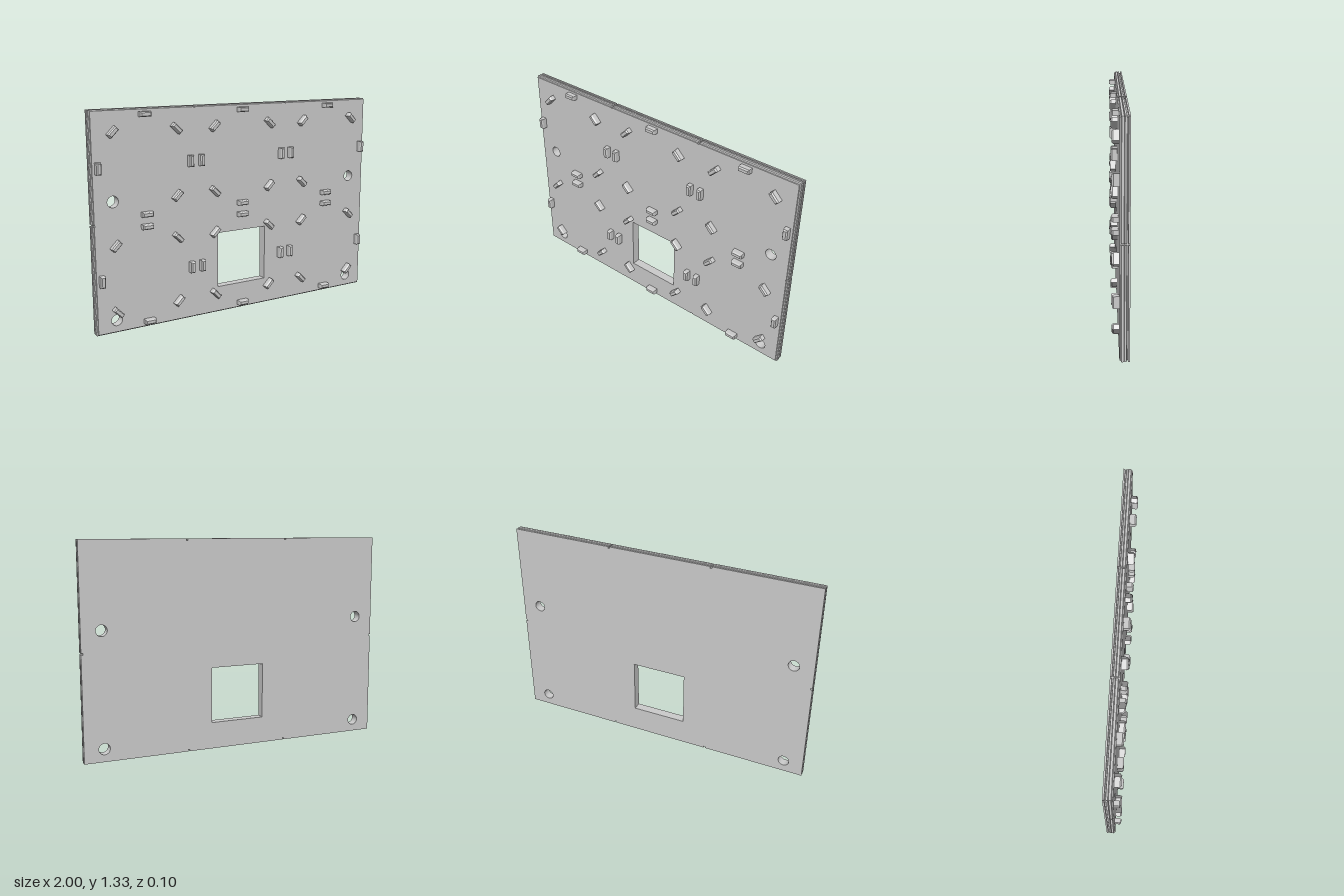
import * as THREE from 'three';
import { mergeGeometries } from 'three/addons/utils/BufferGeometryUtils.js';

const W = 1, H = 1.333, TILE = 0.667;
const Z_BACK = -0.048, Z_FRONT = 0.009, Z_TIP = 0.048;

// Skins matching rings of [x, y] points at rising z; counter-clockwise rings face outward.
function loft(rings) {
  const pos = [];
  for (let k = 0; k + 1 < rings.length; k++) {
    const lo = rings[k], hi = rings[k + 1], n = lo.pts.length;
    for (let i = 0; i < n; i++) {
      const j = (i + 1) % n;
      const a = [...lo.pts[i], lo.z], b = [...lo.pts[j], lo.z];
      const c = [...hi.pts[j], hi.z], d = [...hi.pts[i], hi.z];
      pos.push(...a, ...b, ...c, ...a, ...c, ...d);
    }
  }
  const g = new THREE.BufferGeometry();
  g.setAttribute('position', new THREE.Float32BufferAttribute(pos, 3));
  g.computeVertexNormals();
  return g;
}

const toVec = (pts) => pts.map(([x, y]) => new THREE.Vector2(x, y));

// Flat face with holes, facing +z
function cap(pts, holes, z) {
  const shape = new THREE.Shape(toVec(pts));
  holes.forEach((h) => shape.holes.push(new THREE.Path(toVec(h))));
  const g = new THREE.ShapeGeometry(shape).toNonIndexed();
  g.deleteAttribute('uv');
  return g.translate(0, 0, z);
}

const rect = (x0, y0, x1, y1) => [[x0, y0], [x1, y0], [x1, y1], [x0, y1]];

function circle(cx, cy, r, n = 28) {
  return Array.from({ length: n }, (_, i) => {
    const a = (i / n) * Math.PI * 2;
    return [cx + r * Math.cos(a), cy + r * Math.sin(a)];
  });
}

// Panel outline, with a small notch wherever two tiles meet
function outline(inset) {
  const w = 0.005, d = 0.011, s = TILE / 2, m = H / 2;
  const x = W - inset, y0 = inset, y1 = H - inset;
  const pts = [[-x, y0]];
  for (const c of [-s, s]) pts.push([c - w, y0], [c - w, d], [c + w, d], [c + w, y0]);
  pts.push([x, y0], [x, m - w], [W - d, m - w], [W - d, m + w], [x, m + w], [x, y1]);
  for (const c of [s, -s]) pts.push([c + w, y1], [c + w, H - d], [c - w, H - d], [c - w, y1]);
  pts.push([-x, y1], [-x, m + w], [d - W, m + w], [d - W, m - w], [-x, m - w]);
  return pts;
}

function panelGeometry() {
  // Edge profile as [z, inset]: back lip, deep groove, middle band, fine groove, front chamfer
  const profile = [
    [Z_BACK, 0], [-0.038, 0], [-0.036, 0.008], [-0.031, 0.008], [-0.029, 0],
    [-0.019, 0], [-0.017, 0.004], [-0.015, 0], [-0.002, 0], [0.002, 0.006], [Z_FRONT, 0.007],
  ];
  const holes = [rect(-0.177, 0.17, 0.177, 0.525)];
  for (const x of [-0.875, 0.875]) for (const y of [0.08, 0.8]) holes.push(circle(x, y, 0.035));
  const back = cap(outline(0), holes, 0).rotateY(Math.PI).translate(0, 0, Z_BACK);
  const parts = [
    loft(profile.map(([z, inset]) => ({ z, pts: outline(inset) }))),
    cap(outline(0.007), holes, Z_FRONT),
    back,
  ];
  // Walls of the window and bolt holes
  for (const h of holes) {
    const pts = [...h].reverse();
    parts.push(loft([{ z: Z_BACK, pts }, { z: Z_FRONT, pts }]));
  }
  return mergeGeometries(parts);
}

// Upright locating peg with a chamfered tip
function pegGeometry() {
  const ring = (z, c) => ({ z, pts: rect(-0.035 + c, -0.015 + c, 0.035 - c, 0.015 - c) });
  const rings = [ring(Z_FRONT, 0), ring(Z_TIP - 0.009, 0), ring(Z_TIP, 0.006)];
  return mergeGeometries([loft(rings), cap(rings[2].pts, [], Z_TIP)]);
}

export function createModel() {
  const model = new THREE.Group();
  model.name = 'tiledPanel';
  const material = new THREE.MeshStandardMaterial({ color: 0xcccccc, flatShading: true });

  const panel = new THREE.Mesh(panelGeometry(), material);
  panel.name = 'panel';
  model.add(panel);

  // Eight pegs ring each of the 3 x 2 tiles
  const pegs = new THREE.Group();
  pegs.name = 'pegs';
  const geometry = pegGeometry();
  for (let col = -1; col <= 1; col++) {
    for (let row = 0; row < 2; row++) {
      for (let i = 0; i < 8; i++) {
        const angle = (i * Math.PI) / 4;
        const radius = i % 2 ? 0.287 : 0.296;
        const x = col * TILE + radius * Math.cos(angle);
        const y = 0.335 + row * TILE + radius * Math.sin(angle);
        // The upper bolt holes take the place of two pegs
        if (Math.abs(Math.abs(x) - 0.875) < 0.03 && Math.abs(y - 0.8) < 0.03) continue;
        const peg = new THREE.Mesh(geometry, material);
        peg.name = 'peg';
        peg.position.set(x, y, 0);
        peg.rotation.z = angle + Math.PI / 2;
        pegs.add(peg);
      }
    }
  }
  model.add(pegs);
  return model;
}
